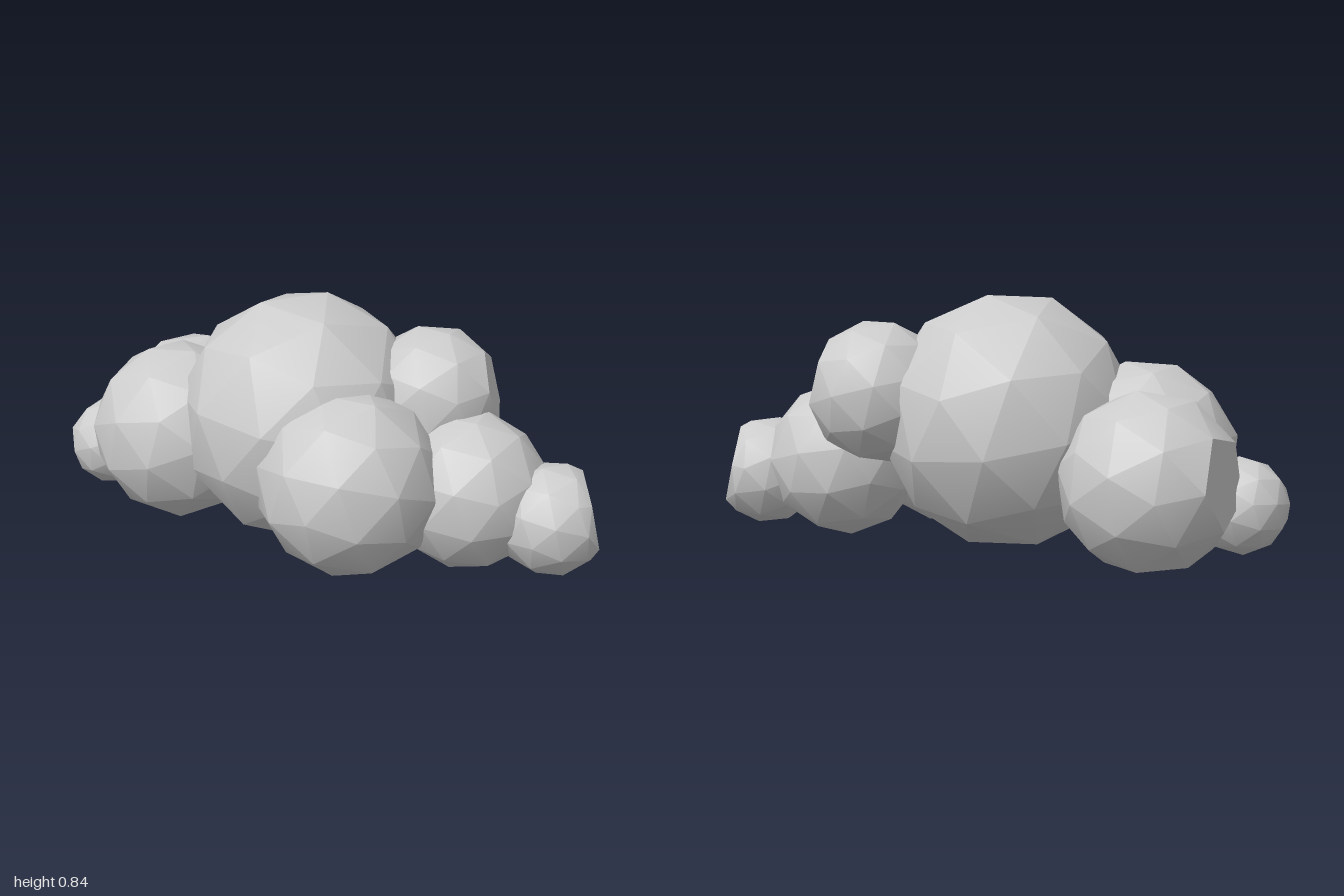
import * as THREE from 'three';
import { toCreasedNormals } from 'three/addons/utils/BufferGeometryUtils.js';

const material = new THREE.MeshStandardMaterial({ color: 0xcccccc });

// name, centre, radius, pole direction, spin about the pole, cap height (1 = no flat cap)
const PUFFS = [
  ['centrePuff', [-0.07, 0.42, -0.045], 0.43, [0.1, 1, -0.2], 0.3, 1],
  ['frontRightPuff', [-0.5, 0.32, 0.08], 0.31, [-0.3, 1, 0.2], 0.2, 1],
  ['frontLeftPuff', [0.24, 0.315, 0.155], 0.31, [0.1, -0.1, 1], 0.4, 1],
  ['backLeftPuff', [0.33, 0.515, -0.225], 0.24, [0.9, 0.25, -0.4], 0.2, 0.85],
  ['leftPuff', [0.53, 0.262, -0.115], 0.267, [0.2, 1, 0.2], 0.5, 1],
  ['backRightPuff', [-0.615, 0.275, -0.17], 0.295, [-1, 0.1, -0.05], 0.4, 0.85],
  ['rightTipPuff', [-0.847, 0.185, 0.04], 0.157, [-1, 0.1, 0.1], 0.2, 1],
  ['leftTipPuff', [0.81, 0.205, -0.17], 0.187, [0.85, 0.22, -0.53], 0, 0.68],
];

const POLE = new THREE.Vector3(-1, (1 + Math.sqrt(5)) / 2, 0).normalize();

// Low-poly smooth ball; corners above the cap height move out to a flat five-sided rim
function puff([name, centre, radius, direction, spin, cap]) {
  const geometry = new THREE.IcosahedronGeometry(radius, 1);
  const position = geometry.attributes.position;
  const axis = new THREE.Vector3(...direction).normalize();
  const turn = new THREE.Quaternion().setFromAxisAngle(axis, spin)
    .multiply(new THREE.Quaternion().setFromUnitVectors(POLE, axis));
  const height = radius * cap;
  const rim = Math.sqrt(radius * radius - height * height);
  const point = new THREE.Vector3();
  for (let i = 0; i < position.count; i++) {
    point.fromBufferAttribute(position, i).applyQuaternion(turn);
    const above = point.dot(axis);
    if (above > height) {
      point.addScaledVector(axis, -above);
      if (point.length() > radius * 0.01) point.setLength(rim);
      point.addScaledVector(axis, height);
    }
    // Undersides rest on the ground
    point.y = Math.max(point.y, -centre[1]);
    position.setXYZ(i, point.x, point.y, point.z);
  }
  const mesh = new THREE.Mesh(toCreasedNormals(geometry, 0.5), material);
  mesh.name = name;
  mesh.position.set(...centre);
  return mesh;
}

export function createModel() {
  const cloud = new THREE.Group();
  cloud.name = 'cloud';
  for (const spec of PUFFS) cloud.add(puff(spec));
  return cloud;
}
